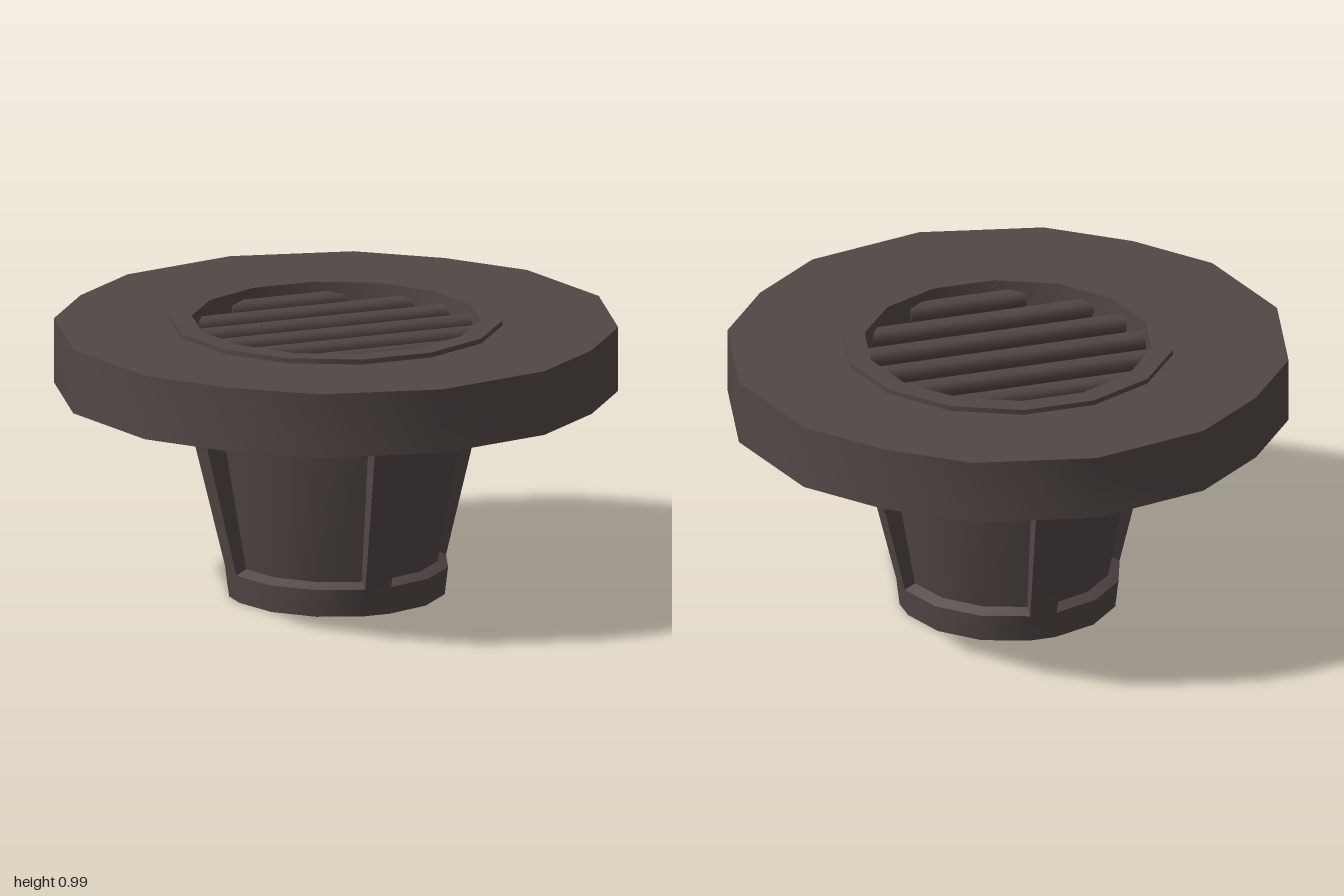
import * as THREE from 'three';
import { toCreasedNormals } from 'three/addons/utils/BufferGeometryUtils.js';

const DEG = Math.PI / 180;

// Closed polygon of [radius, degrees] points
function polygon(points) {
  return points.map(([r, a]) => new THREE.Vector2(r * Math.cos(a * DEG), r * Math.sin(a * DEG)));
}

function regular(r, n) {
  return polygon(Array.from({ length: n }, (_, i) => [r, (i * 360) / n]));
}

// Flat ring with a hole, lying between two heights
function ring(outer, inner, y0, y1) {
  const shape = new THREE.Shape(outer);
  shape.holes.push(new THREE.Path(inner));
  const g = new THREE.ExtrudeGeometry(shape, { depth: y1 - y0, bevelEnabled: false });
  g.rotateX(-Math.PI / 2).translate(0, y0, 0);
  return toCreasedNormals(g, 0.6);
}

// Tapered cup with four ribs and a sunken panel in each quarter
function cupGeometry() {
  const pos = [];
  const p = (r, a, y) => [r * Math.sin(a * DEG), y, r * Math.cos(a * DEG)];
  const quad = (a, b, c, d) => pos.push(...a, ...b, ...c, ...a, ...c, ...d);
  const rows = [[0.39, 0], [0.402, 0.1], [0.532, 0.63], [0.55, 0.745]];
  const low = [0.365, 0.12], high = [0.455, 0.61];
  const columns = [-7, 7, 32.33, 57.67, 83];
  const sunken = [0, 7.6, 32.33, 57.67, 82.4];

  for (let q = 0; q < 360; q += 90) {
    for (let c = 0; c < 4; c++) {
      const a = q + columns[c], b = q + columns[c + 1];
      for (let k = 0; k < 3; k++) {
        const [r0, y0] = rows[k], [r1, y1] = rows[k + 1];
        if (k === 1 && c > 0) continue;
        quad(p(r0, a, y0), p(r0, b, y0), p(r1, b, y1), p(r1, a, y1));
      }
      // Bottom cap
      pos.push(0, 0, 0, ...p(rows[0][0], b, 0), ...p(rows[0][0], a, 0));
      if (c === 0) continue;
      // Sunken panel with sloping sill and head
      const [ro0, yo0] = rows[1], [ro1, yo1] = rows[2];
      const ia = q + sunken[c], ib = q + sunken[c + 1];
      const A = p(low[0], ia, low[1]), B = p(low[0], ib, low[1]);
      const C = p(high[0], ib, high[1]), D = p(high[0], ia, high[1]);
      quad(A, B, C, D);
      quad(p(ro0, a, yo0), p(ro0, b, yo0), B, A);
      quad(D, C, p(ro1, b, yo1), p(ro1, a, yo1));
      // Rib flanks
      if (c === 1) quad(p(ro0, a, yo0), A, D, p(ro1, a, yo1));
      if (c === 3) quad(B, p(ro0, b, yo0), p(ro1, b, yo1), C);
    }
  }
  const g = new THREE.BufferGeometry();
  g.setAttribute('position', new THREE.Float32BufferAttribute(pos, 3));
  return toCreasedNormals(g, 0.5);
}

export function createModel() {
  const model = new THREE.Group();
  const iron = new THREE.MeshStandardMaterial({ color: 0x524846 });
  iron.name = 'dark iron';
  const brass = new THREE.MeshStandardMaterial({ color: 0x80622f });
  brass.name = 'dull brass';

  const add = (name, geometry, material, parent = model) => {
    const mesh = new THREE.Mesh(geometry, material);
    mesh.name = name;
    parent.add(mesh);
    return mesh;
  };

  add('cup', cupGeometry(), iron);

  // Wide flange: sixteen slightly uneven sides
  const edge = [];
  for (let q = 0; q < 360; q += 90) {
    edge.push([1, q], [0.998, q + 25.5], [0.98, q + 45], [0.998, q + 64.5]);
  }
  add('flange', ring(polygon(edge), regular(0.55, 14), 0.74, 0.972), iron);
  add('rim', ring(regular(0.588, 14), regular(0.51, 14), 0.76, 0.99), iron);

  // Floor behind the grille
  const floor = new THREE.CircleGeometry(0.53, 14).rotateX(-Math.PI / 2);
  add('grilleFloor', floor, brass).position.y = 0.84;

  // Round grille bars, with ends set into the rim
  const bars = new THREE.Group();
  bars.name = 'grilleBars';
  model.add(bars);
  for (let i = -3; i <= 3; i++) {
    const z = i * 0.158;
    const length = 2 * (Math.sqrt(0.255 - z * z) + 0.04);
    const bar = new THREE.CylinderGeometry(0.037, 0.037, length, 8).rotateZ(Math.PI / 2);
    add('grilleBar', bar, iron, bars).position.set(0, 0.92, z);
  }
  return model;
}
